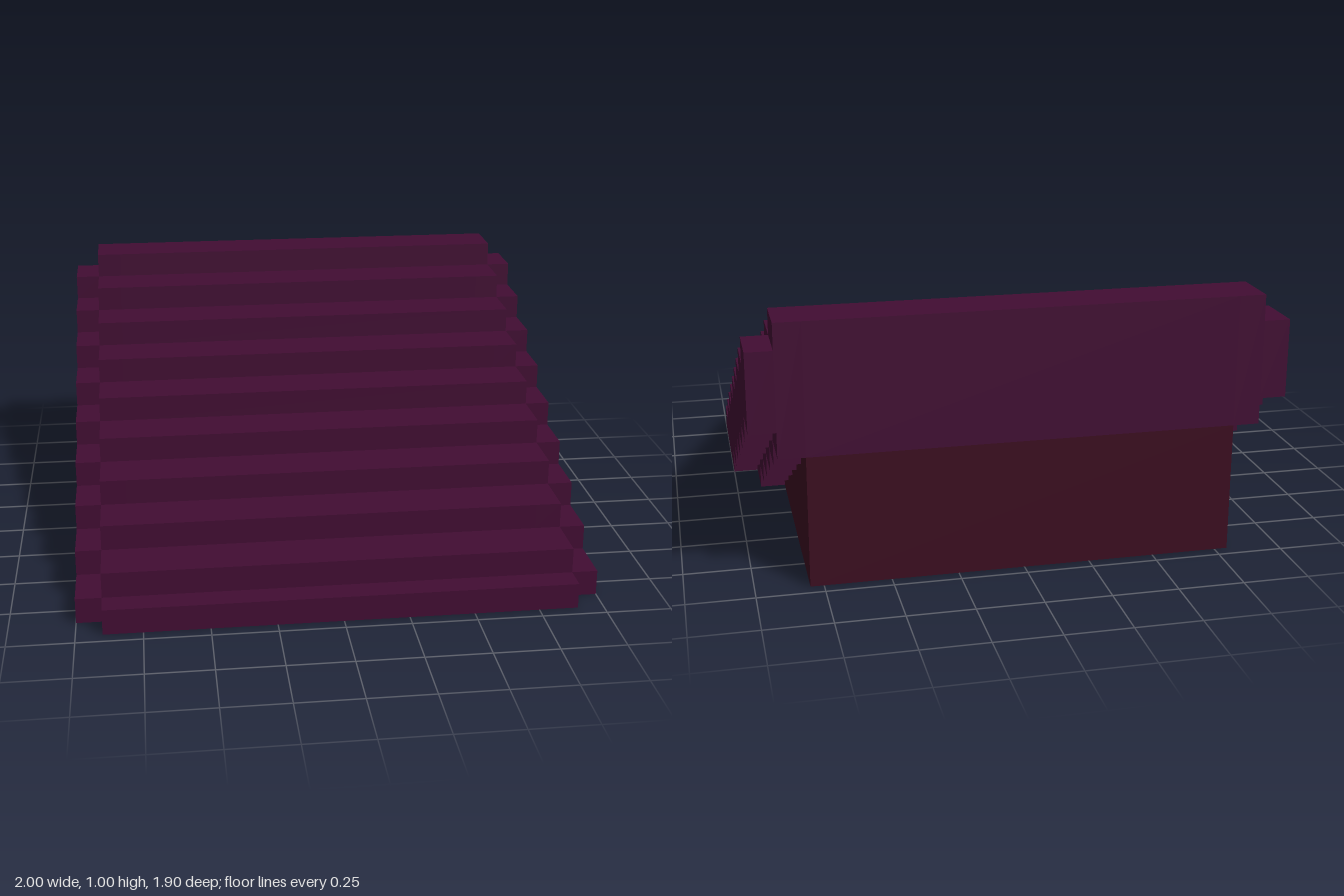
import * as THREE from 'three';

const STEP = 0.1; // riser height
const TREAD = 0.2; // tread depth
const BACK = -0.95;

// Stair corners climbing towards the back, starting at height y on the line z
function climb(z, y) {
  const pts = [];
  while (z > BACK + 0.01) {
    pts.push([z, y]);
    z -= TREAD;
    pts.push([z, y]);
    y += STEP;
  }
  pts[pts.length - 1][0] = BACK;
  return pts;
}

// Extrude a side outline given as [z, y] between two x positions
function slab(name, outline, x0, x1, material) {
  const shape = new THREE.Shape(outline.map(([z, y]) => new THREE.Vector2(z, y)));
  const geometry = new THREE.ExtrudeGeometry(shape, { depth: x1 - x0, bevelEnabled: false });
  geometry.rotateY(-Math.PI / 2).translate(x1, 0, 0);
  const mesh = new THREE.Mesh(geometry, material);
  mesh.name = name;
  return mesh;
}

export function createModel() {
  const group = new THREE.Group();
  group.name = 'steppedRoof';

  const roofPurple = new THREE.MeshStandardMaterial({ color: 0x420d33 });
  roofPurple.name = 'roofPurple';
  const wallRed = new THREE.MeshStandardMaterial({ color: 0x3c0d20 });
  wallRed.name = 'wallRed';

  // Main roof outline: a half tread at the front, then full steps to the ridge
  const roofTop = [[0.95, 0], [0.95, STEP], [0.85, STEP], ...climb(0.85, 2 * STEP)];
  const wallTop = climb(0.05, STEP);
  const eaveTop = climb(0.85, STEP);
  const eaveUnder = climb(0.25, STEP);

  // Roof covering over the walls, with a one-step front lip
  const coreUnder = [...wallTop].reverse().slice(0, -1);
  group.add(slab('roofCovering',
    [...roofTop, ...coreUnder, [0.85, STEP], [0.85, 0]], -0.8, 0.8, roofPurple));

  // Wall block filling the space beneath the covering
  group.add(slab('wallBlock',
    [[BACK, 0], [0.85, 0], [0.85, STEP], ...wallTop.slice(1)], -0.8, 0.8, wallRed));

  // Overhangs at both sides: the inner one follows the roof, the outer one sits a step lower
  const inner = [...roofTop, ...[...wallTop].reverse(), [0.05, 0]];
  const outer = [[0.85, 0], ...eaveTop, ...[...eaveUnder].reverse(), [0.25, 0]];
  for (const [side, sign] of [['left', 1], ['right', -1]]) {
    const span = (a, b) => (sign > 0 ? [a, b] : [-b, -a]);
    group.add(slab(side + 'InnerOverhang', inner, ...span(0.8, 0.9), roofPurple));
    group.add(slab(side + 'OuterEave', outer, ...span(0.9, 1), roofPurple));
  }
  return group;
}
